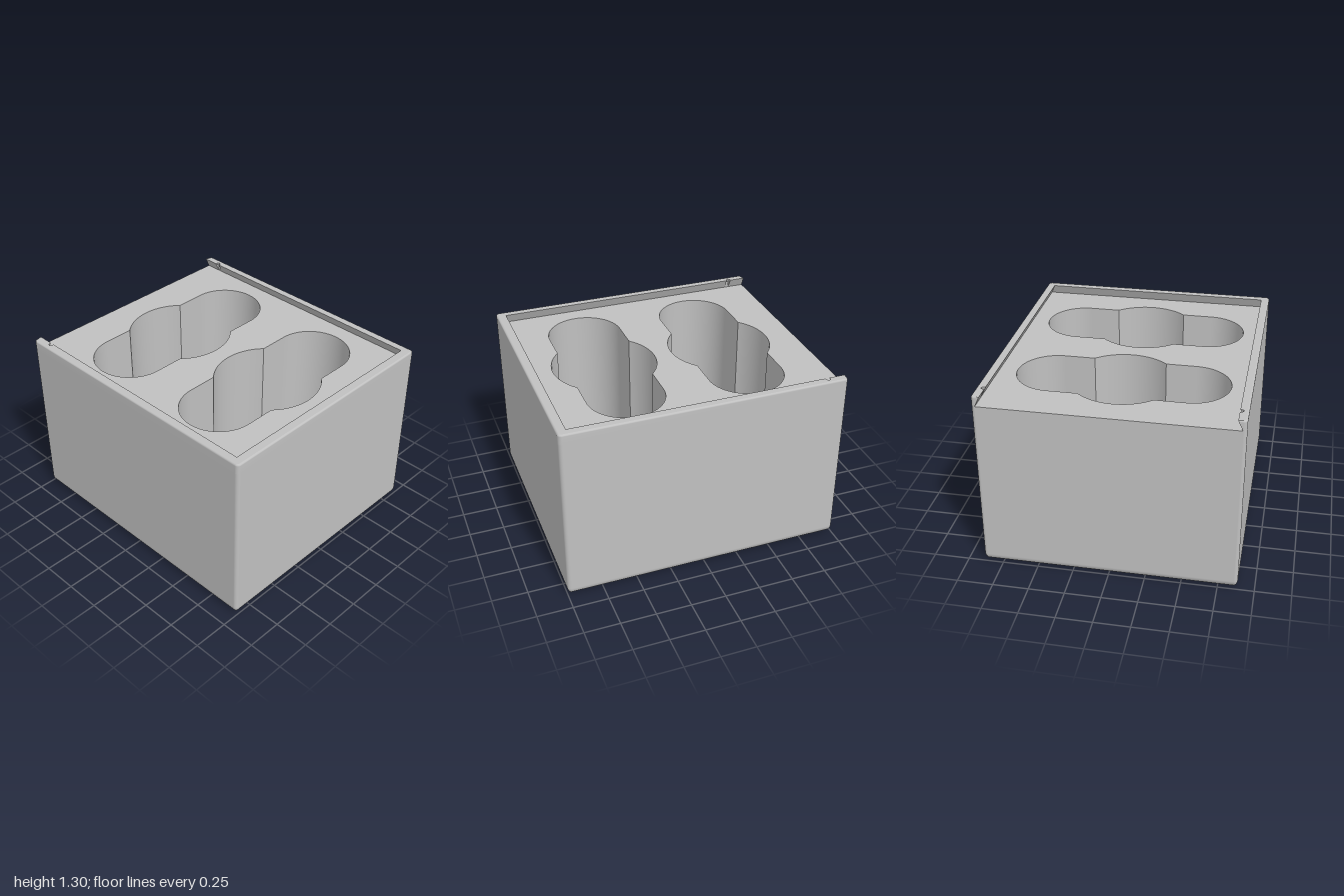
import * as THREE from 'three';

const HW = 0.885, HD = 1, TOP = 1.3, DECK = 1.23;   // outer half sizes, rim top, recess floor
const EDGE = 0.026, FILLET = 0.06;                  // vertical and bottom edge radii
const R = 0.368, SLOT = 0.267, SLOT_X = 0.468;      // round pocket, finger slot, slot end centre
const FLOOR = 0.08;                                 // pocket floor height
const JOIN_X = Math.sqrt(R * R - SLOT * SLOT);      // where slot sides meet the round pocket
const V2 = (x, z) => new THREE.Vector2(x, z);
const lerp = THREE.MathUtils.lerp;

// Surface from fn(u, v) -> [x, y, z]; the front is du x dv
function grid(nu, nv, fn) {
  const pos = [], index = [];
  for (let j = 0; j <= nv; j++)
    for (let i = 0; i <= nu; i++) pos.push(...fn(i / nu, j / nv));
  for (let j = 0; j < nv; j++)
    for (let i = 0; i < nu; i++) {
      const a = j * (nu + 1) + i, b = a + nu + 1;
      index.push(a, a + 1, b + 1, a, b + 1, b);
    }
  const g = new THREE.BufferGeometry();
  g.setAttribute('position', new THREE.Float32BufferAttribute(pos, 3));
  g.setIndex(index);
  g.computeVertexNormals();
  return g;
}

// Skin through equal-length contours: levels = [{ y, pts }]
function loft(levels) {
  const n = levels[0].pts.length - 1, m = levels.length - 1;
  return grid(n, m, (u, v) => {
    const { y, pts } = levels[Math.round(v * m)], p = pts[Math.round(u * n)];
    return [p.x, y, p.y];
  });
}

// Flat horizontal face from (x, z) outlines
function plate(pts, y, holes = [], up = true) {
  const s = up ? -1 : 1;
  const flip = list => list.map(p => V2(p.x, p.y * s));
  const shape = new THREE.Shape(flip(pts));
  shape.holes = holes.map(h => new THREE.Path(flip(h)));
  return new THREE.ShapeGeometry(shape).rotateX(s * Math.PI / 2).translate(0, y, 0);
}

// Arc in the ground plane, angle measured from +z towards +x
function arc(cx, cz, r, from, to, n) {
  return Array.from({ length: n + 1 }, (_, i) => {
    const a = lerp(from, to, i / n);
    return V2(cx + r * Math.sin(a), cz + r * Math.cos(a));
  });
}

// Rounded rectangle, inset from the outer walls, starting at the given corner
function outline(inset, first = 0) {
  const r = Math.max(EDGE - inset, 0.003), x = HW - inset - r, z = HD - inset - r, pts = [];
  for (let i = 0; i < 4; i++) {
    const k = (first + i) % 4;
    pts.push(...arc(k < 2 ? x : -x, k % 3 === 0 ? z : -z, r, k * Math.PI / 2, (k + 1) * Math.PI / 2, 6));
  }
  return pts;
}

// Undercut inner edge of the rim with a detent notch at each end
function innerEdge(t) {
  const x = lerp(0.859, 0.826, t), z = lerp(0.965, 0.934, t);
  const right = [V2(x, -HD)];
  for (let i = 0; i <= 8; i++) {
    const a = i / 8 * Math.PI;
    right.push(V2(Math.max(x, 0.826 + 0.026 * Math.sin(a)), -0.87 - 0.016 * Math.cos(a)));
  }
  right.push(V2(x, z));
  return [...right, ...right.map(p => V2(-p.x, p.y)).reverse()];
}

// Outer edge of the U-shaped rim, open at the back
function outerEdge(inset, t) {
  const x = lerp(0.859, 0.826, t);
  return [V2(-x, -HD), ...outline(inset, 2), V2(x, -HD)];
}

// Plan of one finger slot end on the +x side
function slotPath() {
  return [V2(JOIN_X, -SLOT), ...arc(SLOT_X, 0, SLOT, Math.PI, 0, 32), V2(JOIN_X, SLOT)];
}

export function createModel() {
  const grey = new THREE.MeshStandardMaterial({ color: 0xc0c0c0, side: THREE.DoubleSide });
  grey.name = 'light grey';
  const model = new THREE.Group();
  model.name = 'storageBox';
  const add = (parent, name, geometry) => {
    const mesh = new THREE.Mesh(geometry, grey);
    mesh.name = name;
    parent.add(mesh);
    return mesh;
  };

  // Outer shell with rounded bottom edge
  const closed = inset => {
    const pts = outline(inset);
    return [V2(0, HD - inset), ...pts, V2(0, HD - inset)];
  };
  const levels = [];
  for (let i = 0; i <= 8; i++) {
    const a = i / 8 * Math.PI / 2;
    levels.push({ y: FILLET * (1 - Math.cos(a)), pts: closed(FILLET * (1 - Math.sin(a))) });
  }
  levels.push({ y: DECK, pts: closed(0) });
  add(model, 'outerShell', loft(levels));
  add(model, 'base', plate(outline(FILLET), 0, [], false));

  // Recessed deck with the two pocket openings
  const half = Math.asin(JOIN_X / R);
  const end = slotPath();
  const opening = [
    ...arc(0, 0, R, Math.PI + half, Math.PI - half, 24), ...end.slice(1, -1),
    ...arc(0, 0, R, half, -half, 24), ...end.slice(1, -1).map(p => V2(-p.x, -p.y)),
  ];
  const centres = [-0.435, 0.43];
  add(model, 'deck', plate(outline(0), DECK, centres.map(c => opening.map(p => V2(p.x, p.y + c)))));

  // U-shaped rim that takes a sliding lid
  const rim = new THREE.Group();
  rim.name = 'lidRim';
  model.add(rim);
  const round = 0.012;
  const rimLevels = [{ y: DECK, pts: outerEdge(0, 0) }];
  for (let i = 0; i <= 3; i++) {
    const a = i / 3 * Math.PI / 2, y = TOP - round + round * Math.sin(a);
    rimLevels.push({ y, pts: outerEdge(round * (1 - Math.cos(a)), (y - DECK) / (TOP - DECK)) });
  }
  add(rim, 'rimOutside', loft(rimLevels));
  const inside = loft([{ y: DECK, pts: innerEdge(0) }, { y: TOP, pts: innerEdge(1) }]).toNonIndexed();
  inside.computeVertexNormals();
  add(rim, 'rimInside', inside);
  add(rim, 'rimTop', plate([...outerEdge(round, 1), ...innerEdge(1).slice(1, -1)], TOP));

  // Pockets: a round well with a scooped finger slot on each side
  for (const z of centres) {
    const pocket = new THREE.Group();
    pocket.name = 'pocket';
    pocket.position.z = z;
    model.add(pocket);
    add(pocket, 'wellFloor', new THREE.CircleGeometry(R, 64).rotateX(-Math.PI / 2).translate(0, FLOOR, 0));
    for (const turn of [0, Math.PI]) {
      const side = new THREE.Group();
      side.name = 'pocketHalf';
      side.rotation.y = turn;
      pocket.add(side);
      const wall = pts => (y0) => loft([{ y: y0, pts }, { y: DECK, pts }]);
      add(side, 'wellWall', wall(arc(0, 0, R, half, -half, 24))(FLOOR));
      add(side, 'slotWall', wall(slotPath())(FLOOR + SLOT));
      // Trough between the well and the slot end
      const trough = u => {
        const a = (u - 0.5) * Math.PI, tz = SLOT * Math.sin(a);
        return { z: tz, y: FLOOR + SLOT * (1 - Math.cos(a)), x: Math.sqrt(R * R - tz * tz) };
      };
      add(side, 'slotTrough', grid(32, 1, (u, v) => {
        const t = trough(u);
        return [lerp(t.x, SLOT_X, v), t.y, t.z];
      }));
      add(side, 'wellLip', grid(32, 1, (u, v) => {
        const t = trough(u);
        return [t.x, lerp(FLOOR, t.y, v), t.z];
      }));
      // Quarter-sphere scoop closing the slot
      add(side, 'slotScoop', grid(32, 16, (u, v) => {
        const a = Math.PI * (1 - u), e = v * Math.PI / 2, r = SLOT * Math.sin(e);
        return [SLOT_X + r * Math.sin(a), FLOOR + SLOT * (1 - Math.cos(e)), r * Math.cos(a)];
      }));
    }
  }
  return model;
}
